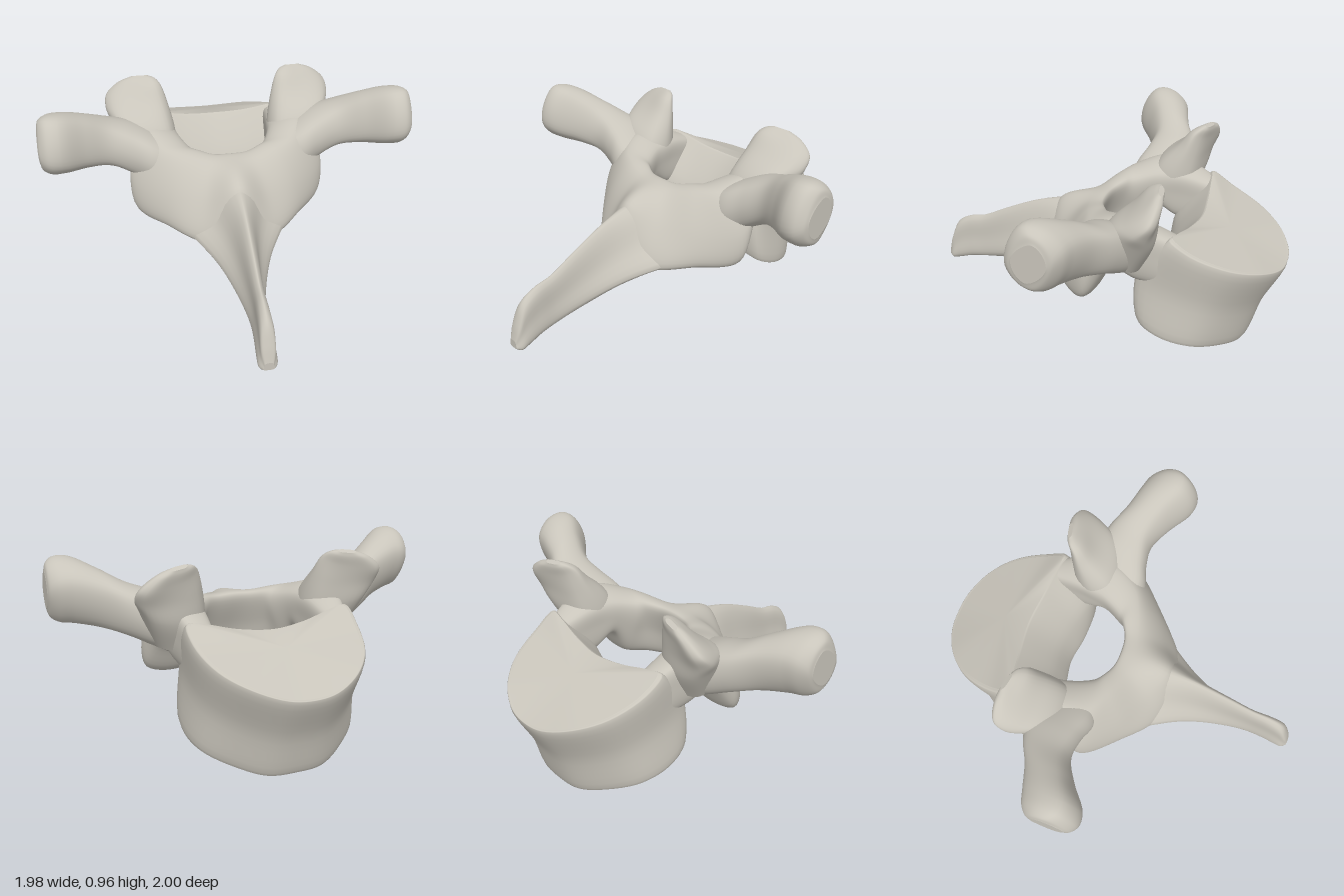
import * as THREE from 'three';

const V = (p) => new THREE.Vector3(...p);
const flip = (ring) => ring.map(([x, y, z]) => [-x, y, z]);

// Smooth skin through closed cross-sections, with end caps; faces always turn outward
function loft(rings, around = 40, perSpan = 6) {
  const loops = rings.map((r) => {
    const curve = new THREE.CatmullRomCurve3(r.map(V), true, 'centripetal');
    return Array.from({ length: around }, (_, i) => curve.getPoint(i / around));
  });
  const steps = (rings.length - 1) * perSpan;
  const rails = Array.from({ length: around }, (_, i) =>
    new THREE.CatmullRomCurve3(loops.map((l) => l[i]), false, 'centripetal'));
  const pts = [];
  const idx = [];
  for (let s = 0; s <= steps; s++) {
    for (const rail of rails) pts.push(rail.getPoint(s / steps));
  }
  for (let s = 0; s < steps; s++) {
    for (let i = 0; i < around; i++) {
      const a = s * around + i;
      const b = s * around + (i + 1) % around;
      idx.push(a, b, a + around, b, b + around, a + around);
    }
  }
  for (const s of [0, steps]) {
    const loop = pts.slice(s * around, (s + 1) * around);
    const start = pts.length;
    const mid = loop.reduce((m, p) => m.add(p), new THREE.Vector3()).divideScalar(around);
    pts.push(...loop.map((p) => p.clone()), mid);
    for (let i = 0; i < around; i++) {
      const a = start + i;
      const b = start + (i + 1) % around;
      if (s === 0) idx.push(b, a, start + around);
      else idx.push(a, b, start + around);
    }
  }
  // Signed volume tells whether the winding must be reversed
  let volume = 0;
  const n = new THREE.Vector3();
  for (let i = 0; i < idx.length; i += 3) {
    volume += n.crossVectors(pts[idx[i]], pts[idx[i + 1]]).dot(pts[idx[i + 2]]);
  }
  if (volume < 0) idx.reverse();
  const geo = new THREE.BufferGeometry().setFromPoints(pts);
  geo.setIndex(idx);
  geo.computeVertexNormals();
  return geo;
}

// Eight-point oval from a centre and two half-axes
function oval(c, u, v, corner = 0.76) {
  const dirs = [[1, 0], [corner, corner], [0, 1], [-corner, corner],
    [-1, 0], [-corner, -corner], [0, -1], [corner, -corner]];
  return dirs.map(([a, b]) => c.map((k, i) => k + a * u[i] + b * v[i]));
}

// Full outline from its +x half (first and last points lie on the midline)
const mirrored = (half) => [...half, ...flip(half.slice(1, -1)).reverse()];

export function createModel() {
  const group = new THREE.Group();
  const bone = new THREE.MeshStandardMaterial({ color: 0xc9c5bb });
  bone.name = 'bone';
  const add = (name, geo) => {
    const mesh = new THREE.Mesh(geo, bone);
    mesh.name = name;
    group.add(mesh);
  };
  const addPair = (name, rings) => {
    add(name + 'Left', loft(rings));
    add(name + 'Right', loft(rings.map(flip)));
  };

  // Body: bean-shaped drum with sloping end plates
  const top = mirrored([[0, 0.45, -1], [0.12, 0.46, -0.985], [0.26, 0.5, -0.91], [0.37, 0.55, -0.78],
    [0.425, 0.62, -0.6], [0.42, 0.685, -0.49], [0.34, 0.675, -0.495], [0.18, 0.64, -0.52], [0, 0.625, -0.54]]);
  const bottom = mirrored([[0, 0.01, -0.84], [0.14, 0.01, -0.82], [0.28, 0.045, -0.74], [0.4, 0.09, -0.62],
    [0.44, 0.13, -0.47], [0.42, 0.185, -0.35], [0.33, 0.225, -0.31], [0.16, 0.22, -0.31], [0, 0.21, -0.335]]);
  const waist = top.map((t, i) => {
    const b = bottom[i];
    const z = (t[2] + b[2]) / 2;
    const rear = Math.abs(b[0]) > 0.25 ? 0.085 : 0.05;
    return [(t[0] + b[0]) * 0.485, (t[1] + b[1]) / 2, z + (z > -0.5 ? rear : 0.015)];
  });
  const inset = (ring, cz, dy) => ring.map(([x, y, z]) => [x * 0.95, y + dy, cz + (z - cz) * 0.95]);
  add('body', loft([inset(bottom, -0.57, -0.005), inset(bottom, -0.57, -0.002), bottom, waist,
    top, inset(top, -0.75, 0.006)], 80));

  // Arch: pedicle, articular column and lamina, swept around the canal to the midline.
  // Ring order: inner top, outer top, outer middle, outer bottom, inner bottom, inner middle
  const half = [
    [[0.3, 0.65, -0.53], [0.4, 0.66, -0.52], [0.42, 0.57, -0.5], [0.4, 0.42, -0.48], [0.3, 0.42, -0.46], [0.28, 0.56, -0.48]],
    [[0.28, 0.69, -0.35], [0.43, 0.72, -0.36], [0.46, 0.6, -0.34], [0.42, 0.44, -0.33], [0.29, 0.44, -0.32], [0.265, 0.58, -0.32]],
    [[0.26, 0.69, -0.22], [0.42, 0.74, -0.2], [0.52, 0.62, -0.19], [0.46, 0.5, -0.21], [0.28, 0.49, -0.21], [0.245, 0.58, -0.21]],
    [[0.2, 0.66, -0.1], [0.36, 0.69, -0.06], [0.52, 0.5, -0.07], [0.51, 0.33, -0.08], [0.3, 0.32, -0.1], [0.22, 0.48, -0.11]],
    [[0.16, 0.66, -0.065], [0.25, 0.67, 0.0], [0.34, 0.49, 0.09], [0.36, 0.31, 0.11], [0.23, 0.3, 0], [0.18, 0.48, -0.04]],
    [[0.09, 0.65, -0.03], [0.12, 0.65, 0.04], [0.165, 0.5, 0.18], [0.2, 0.285, 0.25], [0.12, 0.28, 0.09], [0.1, 0.46, 0.02]],
  ];
  const keel = [[0, 0.65, -0.02], [0, 0.655, 0.06], [0, 0.58, 0.26], [0, 0.28, 0.3], [0, 0.28, 0.13], [0, 0.46, 0.04]];
  add('arch', loft([...half, keel, ...half.map(flip).reverse()], 48, 8));

  // Rear spine: tent-shaped sections [z, top, bottom, top half-width, bottom half-width]
  const spine = [[0.13, 0.6, 0.29, 0.08, 0.31], [0.24, 0.585, 0.255, 0.06, 0.235], [0.4, 0.54, 0.2, 0.035, 0.14],
    [0.6, 0.45, 0.14, 0.025, 0.07], [0.75, 0.375, 0.105, 0.022, 0.042], [0.85, 0.35, 0.085, 0.026, 0.043],
    [0.93, 0.3, 0.06, 0.03, 0.048], [0.975, 0.2, 0.05, 0.03, 0.046], [1, 0.11, 0.065, 0.02, 0.028]];
  add('rearSpine', loft(spine.map(([z, t, b, wt, wb]) => {
    const h = t - b;
    return mirrored([[0, t, z], [wt, t - h * 0.12, z], [wt * 0.55 + wb * 0.45, b + h * 0.48, z],
      [wb, b + h * 0.14, z], [wb * 0.7, b + h * 0.02, z], [0, b, z]]);
  })));

  // Side wings: [x, y, z, half-height, half-depth], flared at the root
  const wing = [[0.28, 0.57, -0.15, 0.09, 0.1], [0.4, 0.59, -0.185, 0.14, 0.16], [0.51, 0.645, -0.205, 0.14, 0.15],
    [0.63, 0.7, -0.19, 0.13, 0.125], [0.75, 0.75, -0.125, 0.14, 0.118], [0.87, 0.785, -0.06, 0.15, 0.135],
    [0.94, 0.79, -0.045, 0.142, 0.12], [0.98, 0.79, -0.045, 0.11, 0.08], [0.992, 0.79, -0.045, 0.06, 0.04]];
  addPair('sideWing', wing.map(([x, y, z, h, d]) => {
    const lean = Math.max(0, x - 0.5) * 0.14;
    return oval([x, y, z], [0, h, -lean], [0, lean, d]);
  }));

  // Upper articular facets: plates leaning toward the body, thick at the root
  addPair('upperFacet', [
    oval([0.4, 0.58, -0.25], [0.14, 0, 0], [0, 0.07, 0.11]),
    oval([0.435, 0.71, -0.315], [0.17, 0.02, -0.02], [0, 0.05, 0.11]),
    oval([0.465, 0.81, -0.375], [0.17, -0.015, -0.02], [0, 0.035, 0.068]),
    oval([0.475, 0.885, -0.42], [0.15, -0.03, -0.03], [0, 0.022, 0.042]),
    oval([0.455, 0.93, -0.443], [0.1, -0.015, -0.022], [0, 0.012, 0.025]),
    oval([0.435, 0.95, -0.45], [0.045, -0.004, -0.01], [0, 0.006, 0.012]),
  ]);

  return group;
}
